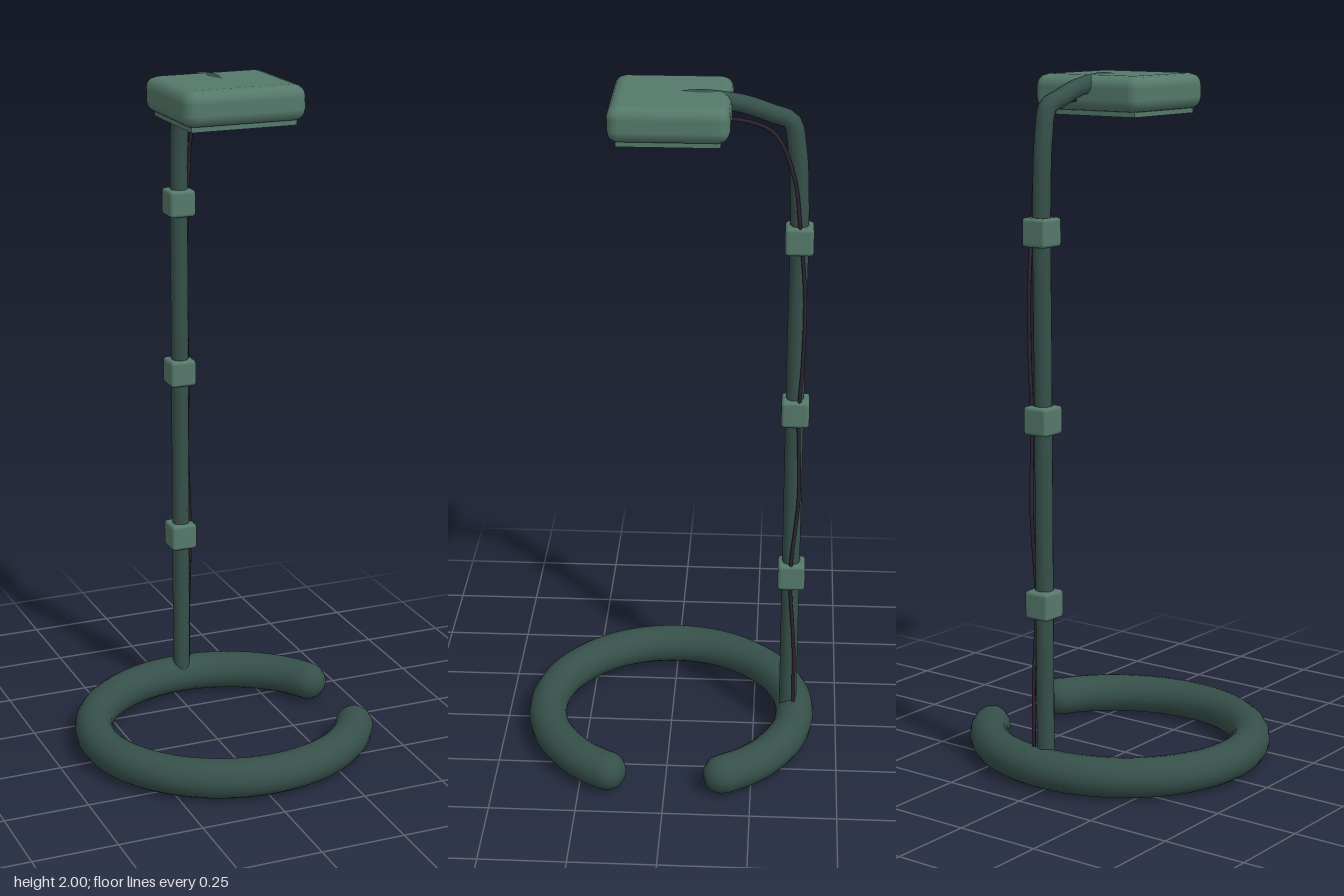
import * as THREE from 'three';
import { RoundedBoxGeometry } from 'three/addons/geometries/RoundedBoxGeometry.js';

const CX = 0.021; // shared centre line of ring, pole and lamp head
const POLE_Z = -0.353;

const darkGreen = new THREE.MeshStandardMaterial({ color: 0x36504a });
const lightGreen = new THREE.MeshStandardMaterial({ color: 0x55796b });
const cableColor = new THREE.MeshStandardMaterial({ color: 0x2c2430 });

const curveOf = (points) =>
  new THREE.CatmullRomCurve3(points.map((p) => new THREE.Vector3(...p)));

export function createModel() {
  const model = new THREE.Group();

  const add = (name, geometry, material, x = 0, y = 0, z = 0) => {
    const mesh = new THREE.Mesh(geometry, material);
    mesh.name = name;
    mesh.position.set(x, y, z);
    model.add(mesh);
    return mesh;
  };

  // Base: slightly oval open ring with a gap on the +x side
  const GAP = 0.465;
  const TUBE = 0.057;
  const ringPoints = [];
  for (let i = 0; i <= 32; i++) {
    const a = GAP + (i / 32) * (Math.PI * 2 - GAP * 2);
    ringPoints.push([CX + 0.395 * Math.cos(a), TUBE, 0.374 * Math.sin(a)]);
  }
  add('baseRing', new THREE.TubeGeometry(curveOf(ringPoints), 96, TUBE, 16), darkGreen);

  // Rounded ends of the open ring
  for (const p of [ringPoints[0], ringPoints[32]]) {
    add('baseRingEnd', new THREE.SphereGeometry(TUBE, 12, 8), darkGreen, ...p);
  }

  // Pole rising from the ring, bending forward into the arm
  const pole = curveOf([
    [CX, 0.06, POLE_Z], [CX, 0.6, POLE_Z], [CX, 1.2, POLE_Z], [CX, 1.68, POLE_Z],
    [CX, 1.84, -0.343], [CX, 1.915, -0.325], [CX, 1.935, -0.275],
    [CX, 1.96, -0.2], [CX, 1.97, -0.14], [CX, 1.974, -0.08], [CX, 1.965, 0.01],
  ]);
  add('poleAndArm', new THREE.TubeGeometry(pole, 120, 0.026, 10), darkGreen);

  // Lamp head with a thin light panel underneath
  add('lampHead', new RoundedBoxGeometry(0.362, 0.1, 0.33, 2, 0.034), lightGreen, CX, 1.945, 0);
  add('lightPanel', new THREE.BoxGeometry(0.31, 0.02, 0.28), lightGreen, CX, 1.893, 0);

  // Cable clips along the pole
  for (const y of [0.535, 1.06, 1.58]) {
    add('cableClip', new RoundedBoxGeometry(0.08, 0.08, 0.08, 2, 0.01), lightGreen, CX, y, -0.355);
  }

  // Cable running from the head, through the clips, down to the base
  const X = 0.051;
  const cable = curveOf([
    [X, 1.925, -0.1], [X, 1.925, -0.19], [X, 1.89, -0.28], [X, 1.77, -0.335],
    [X, 1.6, -0.358], [X, 1.42, -0.374], [X, 1.22, -0.373], [X, 1.06, -0.365],
    [X, 0.8, -0.371], [X, 0.54, -0.352], [X, 0.3, -0.367], [X, 0.08, -0.37],
  ]);
  add('cable', new THREE.TubeGeometry(cable, 90, 0.006, 6), cableColor);

  return model;
}
